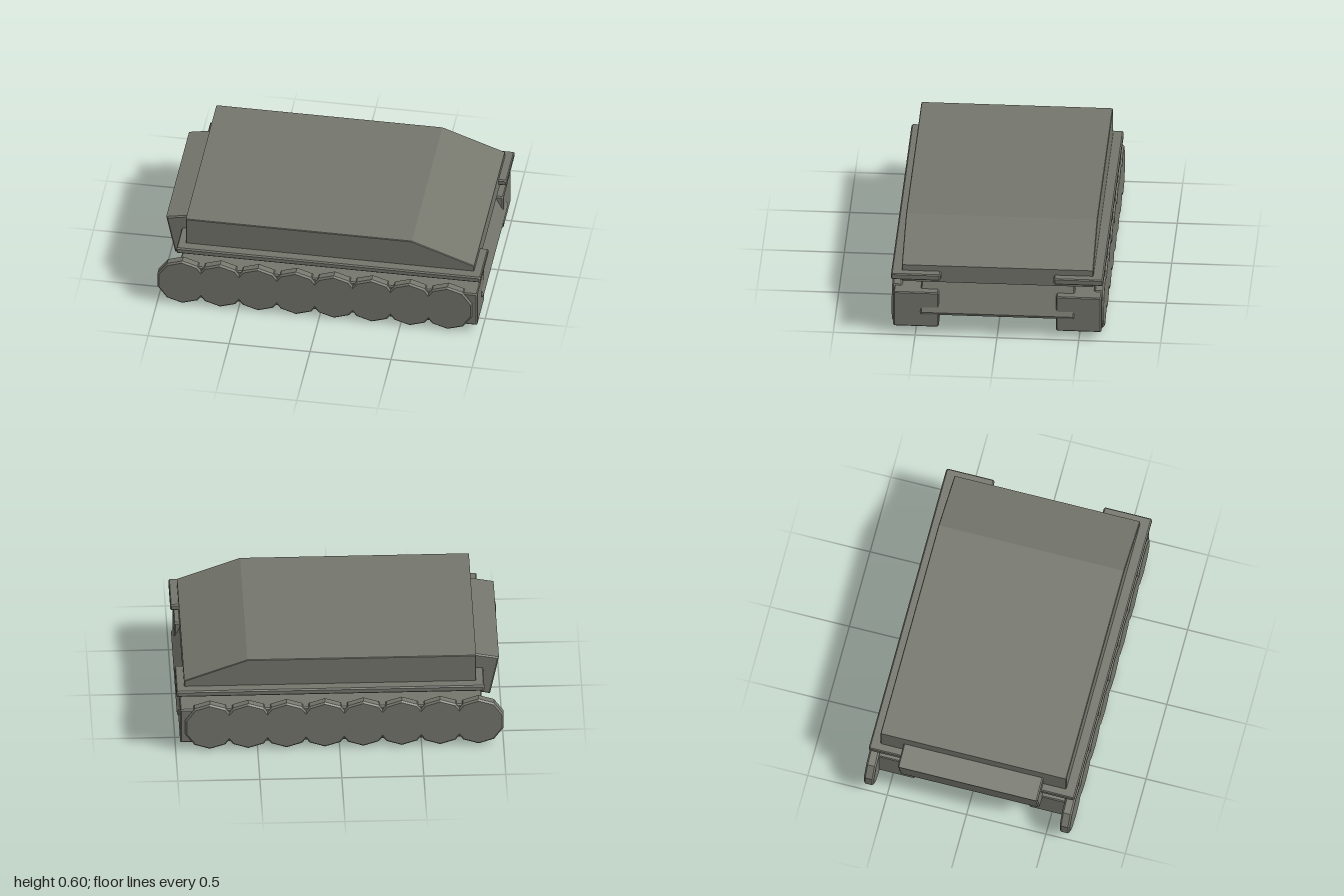
import * as THREE from 'three';

const paint = new THREE.MeshStandardMaterial({ color: 0x74766c, flatShading: true });

// Side profile in x/y, extruded from z0 to z1 with a small chamfer that stays inside the given size
function slab(name, points, z0, z1, bevel = 0.008) {
  const shape = new THREE.Shape(points.map(([x, y]) => new THREE.Vector2(x, y)));
  const geometry = new THREE.ExtrudeGeometry(shape, {
    depth: z1 - z0 - 2 * bevel,
    bevelEnabled: true,
    bevelSize: bevel,
    bevelOffset: -bevel,
    bevelThickness: bevel,
    bevelSegments: 1,
  });
  geometry.translate(0, 0, z0 + bevel);
  const mesh = new THREE.Mesh(geometry, paint);
  mesh.name = name;
  return mesh;
}

// Box profile with clipped corners
function rect(x0, x1, y0, y1, c = 0.006) {
  return [
    [x0 + c, y0], [x1 - c, y0], [x1, y0 + c], [x1, y1 - c],
    [x1 - c, y1], [x0 + c, y1], [x0, y1 - c], [x0, y0 + c],
  ];
}

// Ten-sided wheel outline with a corner at the top
function decagon(cx, cy, r) {
  return Array.from({ length: 10 }, (_, i) => {
    const a = Math.PI / 2 + (i * Math.PI) / 5;
    return [cx + r * Math.cos(a), cy + r * Math.sin(a)];
  });
}

export function createModel() {
  const model = new THREE.Group();
  model.name = 'trackedVehicle';

  // Upper body with sloping front deck
  model.add(slab('upperBody', [
    [-0.835, 0.345], [0.945, 0.345], [0.945, 0.458], [0.56, 0.6], [-0.835, 0.6],
  ], -0.585, 0.585, 0.004));

  // Lower hull between the side boxes
  model.add(slab('lowerHull', rect(-0.87, 0.8, 0.13, 0.36), -0.43, 0.43));

  // Tilted nose block
  model.add(slab('noseBlock', [
    [0.83, 0.065], [0.979, 0.135], [0.986, 0.152], [0.834, 0.456], [0.679, 0.381],
  ], -0.47, 0.47));

  // Tilted rear storage bin
  model.add(slab('rearBin', [
    [-0.925, 0.23], [-0.73, 0.27], [-0.78, 0.528], [-0.98, 0.49],
  ], -0.44, 0.44));

  // Matching running gear on both sides
  for (const side of [1, -1]) {
    const addPair = (name, points, inner, outer, bevel) => {
      const [z0, z1] = side > 0 ? [inner, outer] : [-outer, -inner];
      model.add(slab(name, points, z0, z1, bevel));
    };
    const label = side > 0 ? 'front' : 'back';

    addPair(`${label}Fender`, rect(-0.883, 0.995, 0.38, 0.42), 0.345, 0.648);
    addPair(`${label}SideBox`, rect(-0.87, 0.972, 0.045, 0.282), 0.358, 0.636);

    // Row of overlapping road wheels
    for (let i = 0; i < 8; i++) {
      addPair(`${label}Wheel${i + 1}`, decagon(-0.848 + i * 0.234, 0.16, 0.16), 0.585, 0.648, 0.01);
    }
  }
  return model;
}
